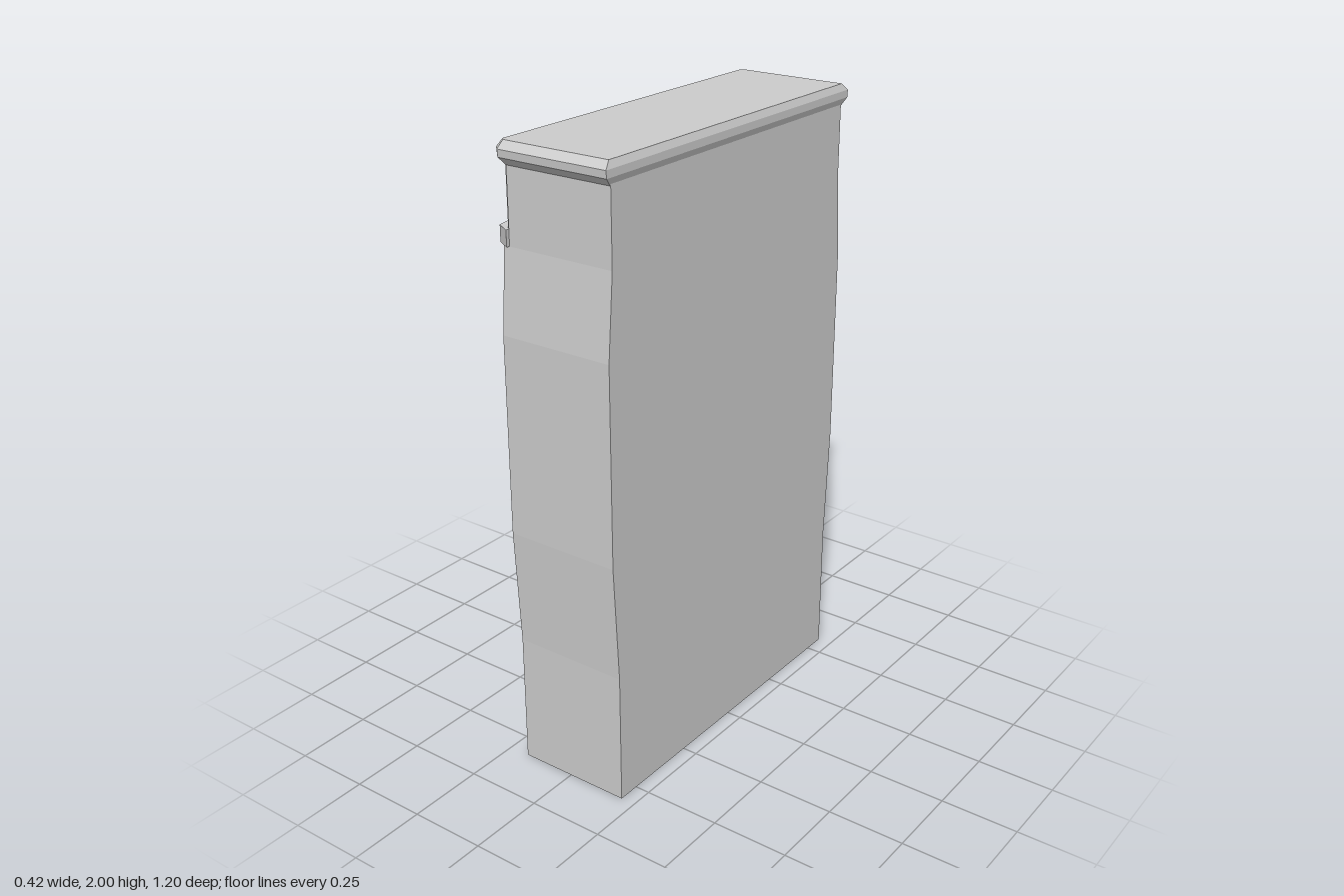
import * as THREE from 'three';
import { ConvexGeometry } from 'three/addons/geometries/ConvexGeometry.js';

const material = new THREE.MeshStandardMaterial({ color: 0xcccccc, flatShading: true, side: THREE.DoubleSide });

// Outer half-width (z) of the case at each height (y): [z, y]
const profile = [[0.573, 0], [0.573, 0.43], [0.594, 0.81], [0.594, 1.44], [0.573, 1.7], [0.573, 1.94]];
// Top edge of the arched moulding: [z, y]
const arch = [[-0.585, 1.75], [-0.5, 1.755], [-0.21, 1.86], [0, 1.89], [0.21, 1.86], [0.5, 1.755], [0.585, 1.75]];
const archHeight = 0.05;

export function createModel() {
  const group = new THREE.Group();
  const add = (name, geometry) => {
    const mesh = new THREE.Mesh(geometry, material);
    mesh.name = name;
    group.add(mesh);
    return mesh;
  };
  // Box given by its limits on each axis
  const box = (name, x0, x1, y0, y1, z0, z1) => {
    const g = new THREE.BoxGeometry(x1 - x0, y1 - y0, z1 - z0);
    g.translate((x0 + x1) / 2, (y0 + y1) / 2, (z0 + z1) / 2);
    return add(name, g);
  };
  // Outline in the z-y plane, extruded along x from x0 to x1
  const slabGeometry = (points, x0, x1) => {
    const shape = new THREE.Shape(points.map(([z, y]) => new THREE.Vector2(z, y)));
    const g = new THREE.ExtrudeGeometry(shape, { depth: x1 - x0, bevelEnabled: false });
    return g.rotateY(-Math.PI / 2).translate(x1, 0, 0);
  };
  // Upright strip that follows the bulging profile on one side
  const strip = (pts, side, width) => [
    ...pts.map(([z, y]) => [side * z, y]),
    ...pts.slice().reverse().map(([z, y]) => [side * (z - width), y]),
  ];

  // Back panel with the bulging outline
  const outline = [...profile, ...profile.slice().reverse().map(([z, y]) => [-z, y])];
  add('backPanel', slabGeometry(outline, 0.18, 0.202));

  // Side walls, front stiles and door jambs
  for (const side of [-1, 1]) {
    const label = side > 0 ? 'left' : 'right';
    add(label + 'SideWall', slabGeometry(strip(profile, side, 0.03), -0.16, 0.18));
    add(label + 'FrontStile', slabGeometry(strip(profile.slice(0, 5), side, 0.055), -0.18, -0.16));
    const jamb = [0.518 * side, 0.543 * side].sort((a, b) => a - b);
    box(label + 'DoorJamb', -0.16, -0.13, 0.04, 0.47, ...jamb);
  }

  // Lower cabinet: rails, recessed door panel and centre mullion
  box('bottomRail', -0.18, -0.16, 0, 0.05, -0.52, 0.52);
  box('innerBottomRail', -0.16, -0.13, 0.035, 0.05, -0.543, 0.543);
  box('topRail', -0.18, -0.13, 0.42, 0.47, -0.52, 0.52);
  box('doorPanel', -0.13, -0.12, 0.035, 0.45, -0.543, 0.543);
  box('centreMullion', -0.155, -0.1, 0.04, 0.44, -0.02, 0.02);

  // Shelves
  for (const [top, halfWidth] of [[0.47, 0.545], [0.9, 0.564], [1.43, 0.564]]) {
    box('shelf', -0.15, 0.18, top - 0.035, top, -halfWidth, halfWidth);
  }

  // Header above the opening, cut to the arch
  const inner = arch.map(([z, y]) => [THREE.MathUtils.clamp(z, -0.57, 0.57), y - archHeight / 2]);
  add('header', slabGeometry([...inner, [0.57, 1.94], [-0.57, 1.94]], -0.165, -0.14));

  // Arched moulding with mitred ends
  const lower = arch.slice().reverse().map(([z, y]) => [z, y - archHeight]);
  const moulding = slabGeometry([...arch, ...lower], -0.21, -0.16);
  const p = moulding.attributes.position;
  for (let i = 0; i < p.count; i++) {
    if (p.getX(i) < -0.2 && Math.abs(p.getZ(i)) > 0.55) p.setZ(i, Math.sign(p.getZ(i)) * 0.555);
  }
  moulding.computeVertexNormals();
  add('archMoulding', moulding);

  // Cornice: bevelled rings [y, front x, back x, half-width, front corner cut]
  const rings = [
    [1.93, -0.165, 0.2, 0.573, 0.005],
    [1.955, -0.188, 0.209, 0.598, 0.022],
    [1.978, -0.188, 0.209, 0.6, 0.022],
    [2.0, -0.175, 0.2, 0.577, 0.012],
  ];
  const points = [];
  for (const [y, front, back, w, cut] of rings) {
    for (const s of [-1, 1]) {
      points.push(
        new THREE.Vector3(back, y, s * w),
        new THREE.Vector3(front + cut, y, s * w),
        new THREE.Vector3(front, y, s * (w - cut)),
      );
    }
  }
  add('cornice', new ConvexGeometry(points));

  return group;
}
